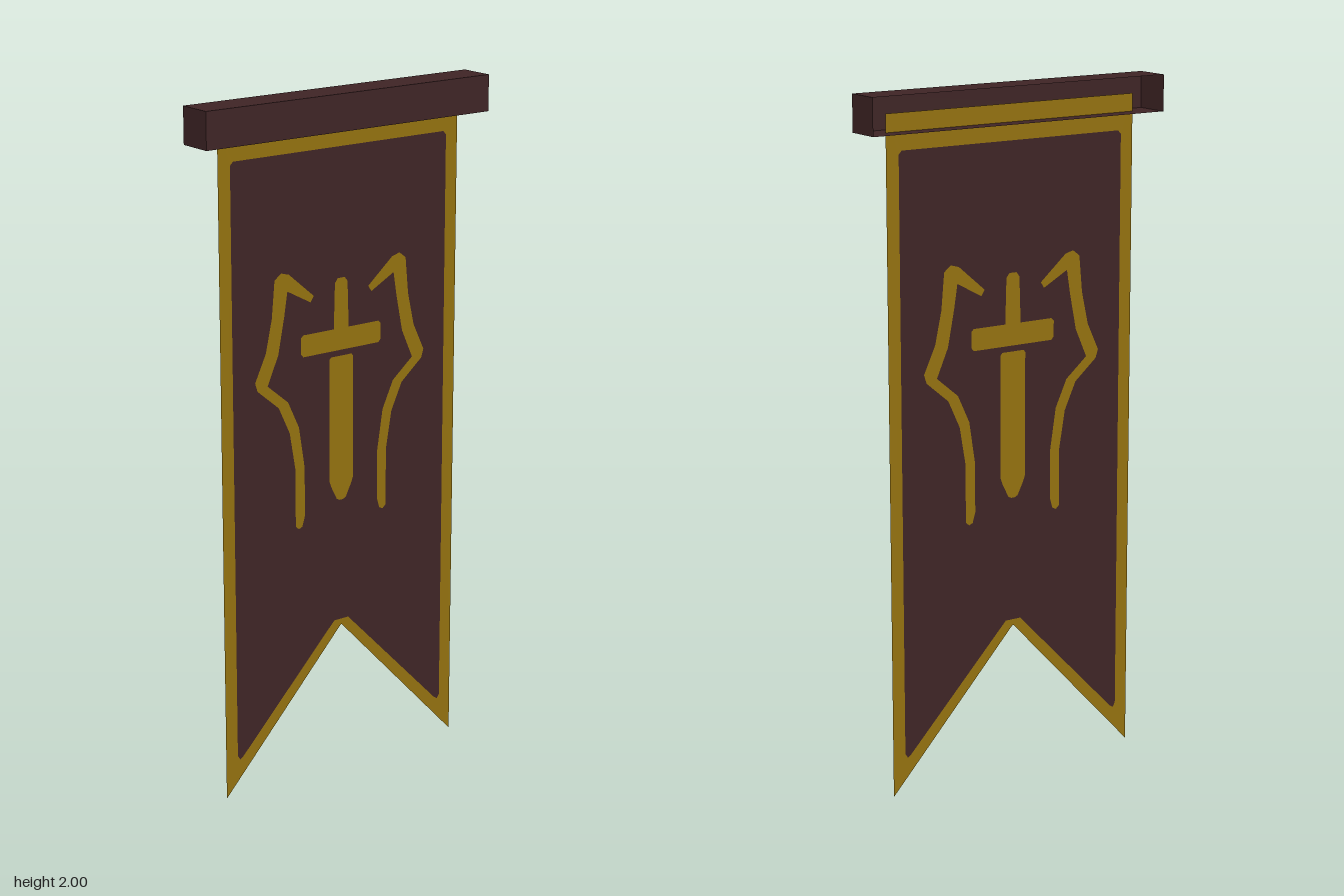
import * as THREE from 'three';

export function createModel() {
  const gold = new THREE.MeshStandardMaterial({ color: 0x92700f, side: THREE.DoubleSide });
  gold.name = 'gold';
  const maroon = new THREE.MeshStandardMaterial({ color: 0x3e2425, side: THREE.DoubleSide });
  maroon.name = 'dark maroon';

  const model = new THREE.Group();
  model.name = 'hangingBanner';
  const add = (name, geometry, material) => {
    const mesh = new THREE.Mesh(geometry, material);
    mesh.name = name;
    model.add(mesh);
    return mesh;
  };
  const points = (list) => list.map(([x, y]) => new THREE.Vector2(x, y));
  const mirror = (list) => list.map(([x, y]) => [-x, y]).reverse();
  // Closes a half outline, listed from top to bottom on +x, with its mirror image
  const symmetric = (half) => points([...half, ...mirror(half)]);

  // Cloth outline with a swallowtail notch; its top edge is tucked into the beam
  const clothEdge = symmetric([[0.41, 1.947], [0.41, 0.003], [0.002, 0.44]]);
  const fieldEdge = symmetric([
    [0.36, 1.845], [0.37, 1.835], [0.37, 0.125], [0.362, 0.112], [0.35, 0.12], [0.025, 0.458],
  ]);

  // Emblem outlines: sword hilt, blade and a pair of flanking curves
  const hilt = symmetric([
    [0.012, 1.475], [0.022, 1.462], [0.026, 1.33], [0.132, 1.33], [0.14, 1.322],
    [0.14, 1.277], [0.132, 1.267], [0.04, 1.267],
  ]);
  const blade = symmetric([
    [0.036, 1.25], [0.042, 1.243], [0.042, 0.885], [0.036, 0.868], [0.016, 0.828], [0.006, 0.823],
  ]);
  const curve = [
    [0.095, 1.437], [0.18, 1.51], [0.206, 1.517], [0.228, 1.5], [0.238, 1.394], [0.259, 1.299],
    [0.296, 1.22], [0.288, 1.195], [0.217, 1.135], [0.18, 1.055], [0.161, 0.944], [0.161, 0.775],
    [0.15, 0.765], [0.138, 0.77], [0.129, 0.8], [0.129, 0.944], [0.148, 1.066], [0.185, 1.146],
    [0.254, 1.204], [0.217, 1.288], [0.196, 1.394], [0.185, 1.463], [0.106, 1.42],
  ];
  const emblem = {
    swordHilt: hilt,
    swordBlade: blade,
    leftCurve: points(curve),
    rightCurve: points(mirror(curve)),
  };

  // Border and field are cut out so all cloth pieces share one sheet
  const border = new THREE.Shape(clothEdge);
  border.holes.push(new THREE.Path(fieldEdge));
  add('border', new THREE.ShapeGeometry(border), gold);

  const field = new THREE.Shape(fieldEdge);
  for (const [name, outline] of Object.entries(emblem)) {
    field.holes.push(new THREE.Path(outline));
    add(name, new THREE.ShapeGeometry(new THREE.Shape(outline)), gold);
  }
  add('field', new THREE.ShapeGeometry(field), maroon);

  // Hollow beam, open at the back: the last six indices are the back face
  const beam = new THREE.BoxGeometry(0.96, 0.104, 0.106);
  beam.setIndex(Array.from(beam.index.array).slice(0, 30));
  beam.clearGroups();
  add('beam', beam, maroon).position.y = 1.948;

  return model;
}
